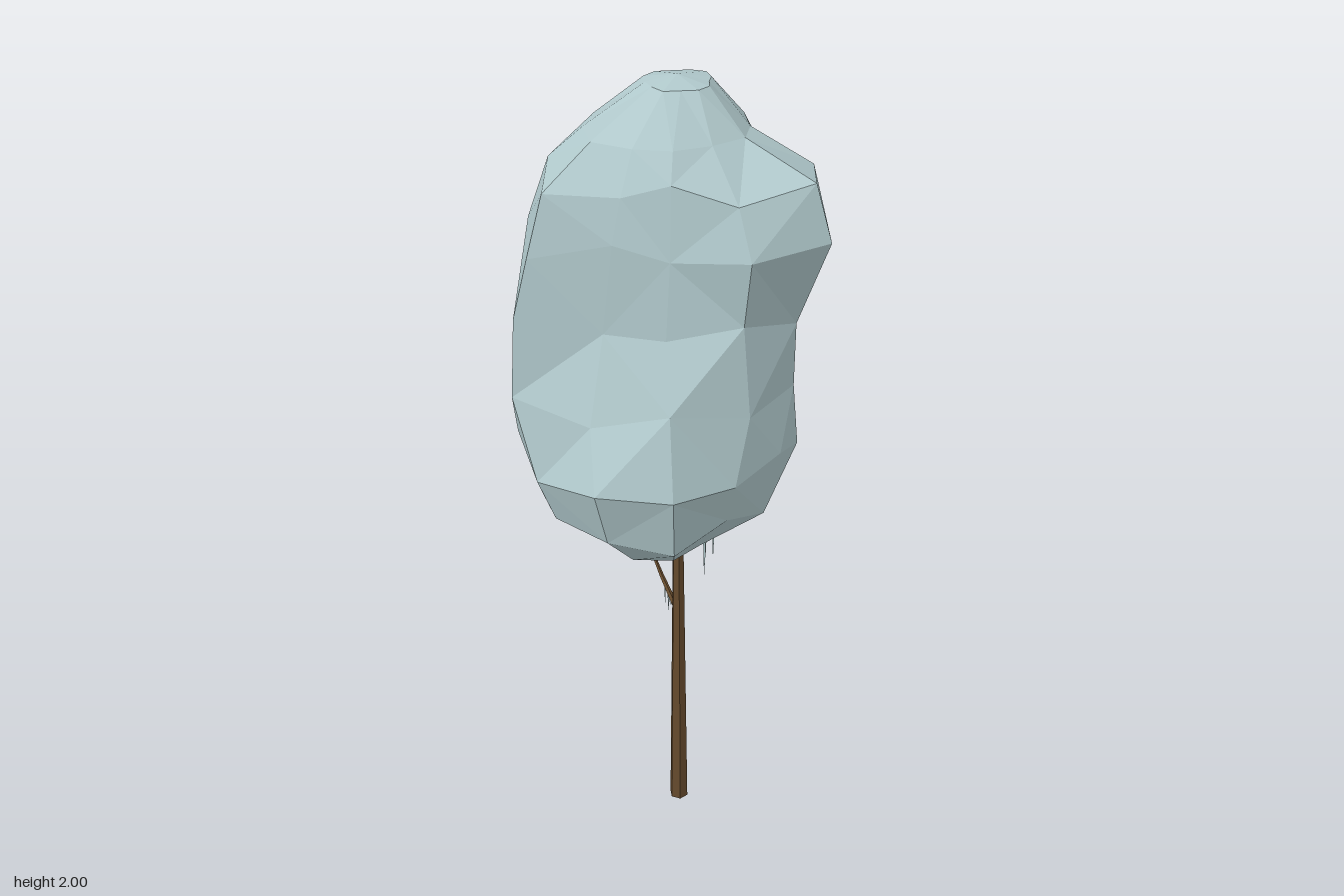
import * as THREE from 'three';

const mat = (name, color) => {
  const m = new THREE.MeshStandardMaterial({ color, flatShading: true });
  m.name = name;
  return m;
};

// Crown cross-sections: [y, centre x, centre z, radii at ANGLES degrees from +x towards +z]
const ANGLES = [3, 32, 60, 90, 120, 150, 180, 210, 240, 264, 288, 315, 337];
const SECTIONS = [
  [0.925, 0.04, 0.06, [.15, .19, .20, .17, .15, .14, .14, .14, .15, .16, .16, .15, .14]],
  [1.02, 0.01, 0.05, [.27, .31, .32, .31, .29, .28, .26, .26, .27, .29, .29, .28, .28]],
  [1.16, 0, 0.05, [.31, .345, .37, .35, .335, .35, .34, .28, .29, .34, .34, .335, .325]],
  [1.32, -0.08, 0, [.38, .37, .37, .405, .30, .29, .255, .21, .31, .40, .34, .27, .37]],
  [1.50, -0.08, 0, [.35, .29, .29, .39, .28, .27, .24, .21, .31, .37, .30, .28, .37]],
  [1.68, -0.06, 0, [.35, .255, .26, .36, .295, .27, .23, .21, .26, .27, .25, .35, .43]],
  [1.81, -0.05, 0, [.29, .22, .225, .32, .25, .24, .20, .20, .22, .23, .25, .34, .38]],
  [1.89, -0.05, -0.01, [.18, .18, .18, .20, .18, .17, .16, .16, .17, .18, .19, .19, .20]],
  [1.985, -0.03, -0.03, [.08, .07, .08, .07, .07, .08, .08, .07, .08, .09, .08, .07, .08]],
];

function crownGeometry() {
  const pts = [], index = [], n = SECTIONS.length, sides = ANGLES.length;
  SECTIONS.forEach(([y, cx, cz, radii], i) => radii.forEach((r, k) => {
    const a = THREE.MathUtils.degToRad(ANGLES[k]);
    // small regular wobble in height breaks up the rings
    const dy = i > 0 && i < n - 2 ? 0.022 * Math.sin(k * 2.4 + i * 1.9) : 0;
    pts.push(new THREE.Vector3(cx + r * Math.cos(a), y + dy, cz + r * Math.sin(a)));
  }));
  const bottom = pts.push(new THREE.Vector3(0.06, 0.9, 0.08)) - 1;
  const top = pts.push(new THREE.Vector3(-0.03, 2.0, -0.03)) - 1;
  for (let k = 0; k < sides; k++) {
    const k1 = (k + 1) % sides;
    for (let i = 0; i < n - 1; i++) {
      const a = i * sides + k, b = i * sides + k1, c = a + sides, d = b + sides;
      // split each quad along its shorter diagonal
      if (pts[b].distanceTo(pts[c]) < pts[a].distanceTo(pts[d])) index.push(a, c, b, b, c, d);
      else index.push(a, c, d, a, d, b);
    }
    index.push(bottom, k, k1);
    index.push(top, (n - 1) * sides + k1, (n - 1) * sides + k);
  }
  const g = new THREE.BufferGeometry().setFromPoints(pts);
  g.setIndex(index);
  g.computeVertexNormals();
  return g;
}

// Tapered rod between two points
function rod(name, from, to, r0, r1, sides, material) {
  const a = new THREE.Vector3(...from), b = new THREE.Vector3(...to);
  const dir = b.clone().sub(a);
  const mesh = new THREE.Mesh(new THREE.CylinderGeometry(r1, r0, dir.length(), sides), material);
  mesh.position.copy(a).add(b).multiplyScalar(0.5);
  mesh.quaternion.setFromUnitVectors(new THREE.Vector3(0, 1, 0), dir.normalize());
  mesh.name = name;
  return mesh;
}

export function createModel() {
  const model = new THREE.Group();
  model.name = 'frostedTree';
  const frost = mat('frost', 0xb0c8cb);
  const bark = mat('bark', 0x664b2d);

  const crown = new THREE.Mesh(crownGeometry(), frost);
  crown.name = 'crown';
  model.add(crown);

  // Trunk and side branch
  model.add(rod('trunk', [0.057, 0, 0.028], [0.053, 0.94, 0.03], 0.025, 0.013, 6, bark));
  const branch = new THREE.Group();
  branch.name = 'branch';
  branch.add(
    rod('branchBase', [0.05, 0.63, 0.03], [-0.02, 0.695, 0.025], 0.008, 0.006, 5, bark),
    rod('branchTip', [-0.018, 0.692, 0.025], [-0.125, 0.82, 0.02], 0.006, 0.001, 5, bark),
  );
  model.add(branch);

  // Icicles: x, top y, tip y, z, radius
  const icicles = new THREE.Group();
  icicles.name = 'icicles';
  [
    [-0.055, 0.96, 0.87, 0.03, 0.005],
    [0.145, 0.96, 0.79, 0.02, 0.007],
    [0.155, 0.96, 0.85, 0.025, 0.005],
    [0.178, 0.97, 0.865, 0.02, 0.005],
    [0.012, 0.665, 0.605, 0.028, 0.004],
    [-0.004, 0.68, 0.62, 0.027, 0.003],
    [0.022, 0.655, 0.625, 0.028, 0.003],
  ].forEach(([x, y0, y1, z, r]) => icicles.add(rod('icicle', [x, y0, z], [x, y1, z], r, 0.0005, 4, frost)));
  model.add(icicles);
  return model;
}
